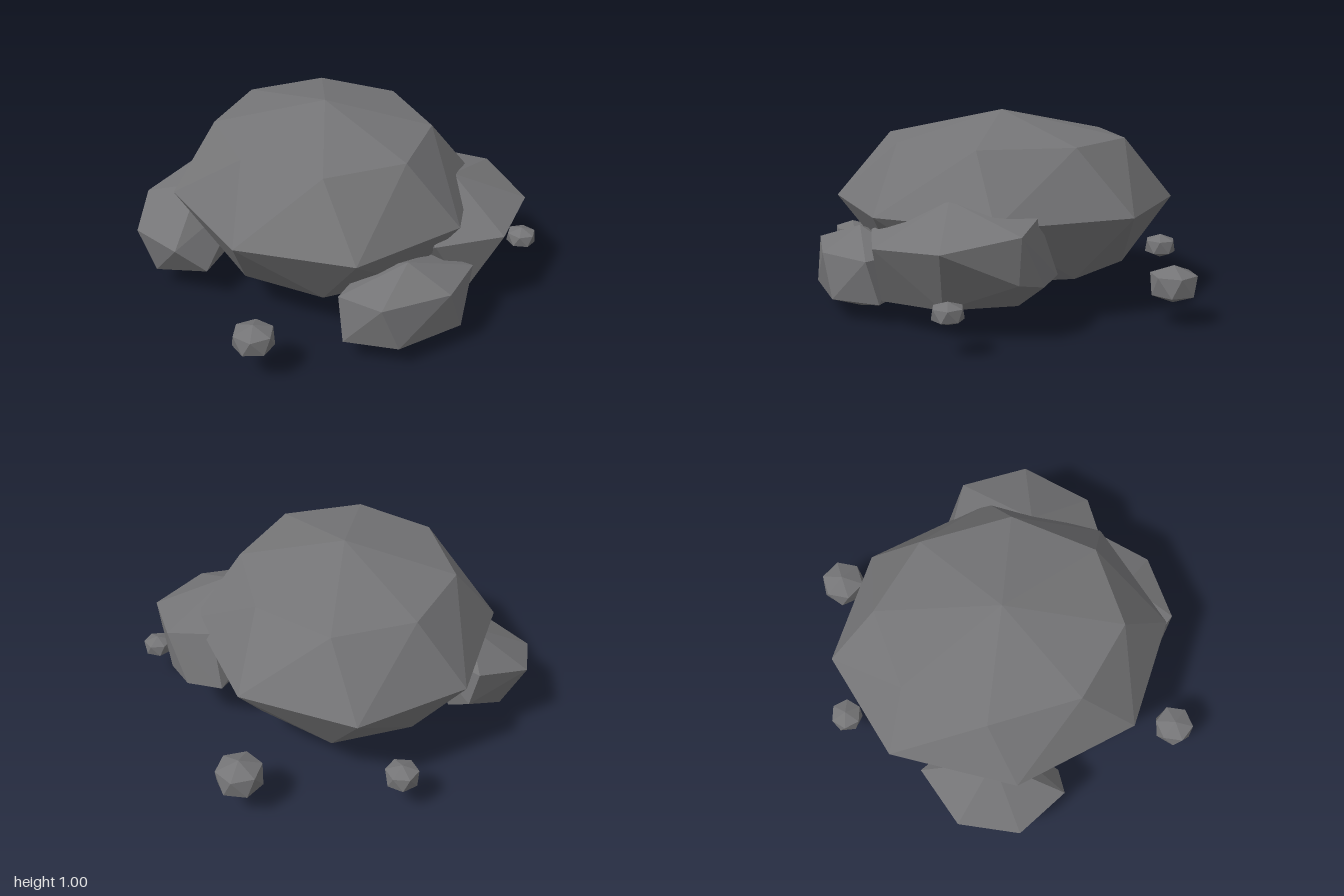
import * as THREE from 'three';
import { ConvexGeometry } from 'three/addons/geometries/ConvexGeometry.js';

const V = (x, y, z) => new THREE.Vector3(x, y, z);

export function createModel() {
  const group = new THREE.Group();
  const stone = new THREE.MeshStandardMaterial({ color: 0x757577 });
  stone.name = 'greyStone';

  // A faceted rock is the hull of its corner points
  const addRock = (name, points) => {
    const mesh = new THREE.Mesh(new ConvexGeometry(points), stone);
    mesh.name = name;
    group.add(mesh);
  };
  // Horizontal ring of corners from [x, z] pairs
  const ring = (y, pairs) => pairs.map(([x, z]) => V(x, y, z));
  // Horizontal ring of six corners on an ellipse
  const hexRing = (cx, y, cz, rx, rz, turn) => Array.from({ length: 6 }, (_, i) => {
    const a = turn + i * Math.PI / 3;
    return V(cx + rx * Math.cos(a), y, cz + rz * Math.sin(a));
  });
  // Small stone: two twisted rings between two tips
  const hexRock = (name, cx, cy, cz, rx, ry, rz, turn, twist) => addRock(name, [
    V(cx, cy + ry, cz), V(cx, cy - ry, cz),
    ...hexRing(cx, cy + ry * 0.52, cz, rx, rz, turn),
    ...hexRing(cx, cy - ry * 0.5, cz, rx, rz, turn + twist),
  ]);

  // Main boulder: wide waist between two narrower rings
  const narrow = [[-0.13, -0.62], [0.30, -0.57], [0.54, -0.19], [0.45, 0.30],
    [0.08, 0.60], [-0.35, 0.53], [-0.59, 0.15], [-0.50, -0.33]];
  const waist = [[-0.32, -0.81], [0.29, -0.86], [0.73, -0.42], [0.73, 0.30],
    [0.29, 0.78], [-0.35, 0.83], [-0.77, 0.39], [-0.77, -0.30]];
  addRock('mainBoulder', [
    V(-0.02, 1.005, 0), ...ring(0.867, narrow), ...ring(0.535, waist),
    ...ring(0.2, narrow), V(-0.02, 0.067, 0),
  ]);

  // Low rock at the front
  hexRock('frontRock', -0.02, 0.217, 0.78, 0.375, 0.217, 0.225, 0.24, -0.27);

  // Leaning rock at the front on the model's left
  addRock('leftRock', [
    V(0.49, 0.64, 0.45), V(0.53, 0.44, 0.84), V(0.86, 0.47, 0.61), V(0.90, 0.53, 0.23),
    V(0.70, 0.57, 0.07), V(0.16, 0.45, 0.76), V(0.30, 0.5, 0.2), V(0.85, 0.27, 0.10),
    V(0.89, 0.30, 0.24), V(0.70, 0.28, -0.03), V(0.70, 0.16, 0.55), V(0.36, 0.13, 0.76),
    V(0.46, 0.08, 0.35), V(0.72, 0.15, 0.18), V(0.25, 0.2, 0.4),
  ]);

  // Leaning rock at the back on the model's right
  addRock('rightRock', [
    V(-0.60, 0.52, -0.35), V(-0.96, 0.32, -0.38), V(-0.78, 0.39, -0.65), V(-0.46, 0.49, -0.70),
    V(-0.88, 0.32, -0.07), V(-0.43, 0.29, -0.67), V(-0.90, 0.10, -0.30), V(-0.70, 0.12, -0.55),
    V(-0.50, 0.10, -0.28), V(-0.41, 0.16, -0.50), V(-0.73, 0.18, -0.02), V(-0.35, 0.42, -0.3),
  ]);

  // Scattered pebbles: x, y, z, radius, half height, turn
  [
    [-0.81, 0.207, 0.66, 0.102, 0.075, 0.1],
    [0.885, 0.207, 0.58, 0.077, 0.055, 0.3],
    [0.805, 0.207, -0.605, 0.118, 0.095, 0.15],
    [0.075, 0.203, -0.92, 0.084, 0.066, 0.5],
  ].forEach(([x, y, z, r, h, turn], i) =>
    hexRock('pebble' + (i + 1), x, y, z, r, h, r, turn, 0.4));

  return group;
}
